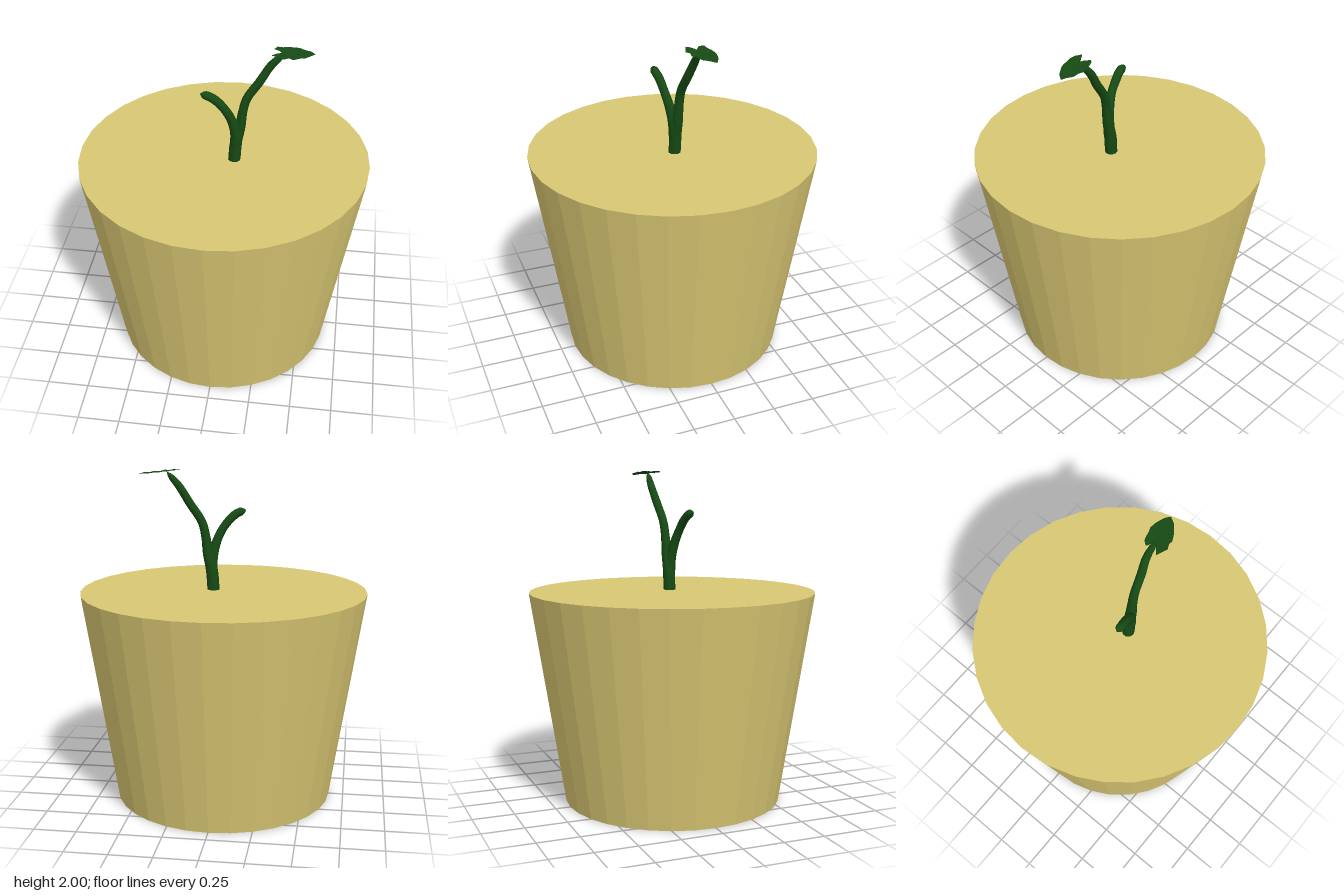
import * as THREE from 'three';

const V = (p) => new THREE.Vector3(...p);

// Tube along a smooth path, with its radius interpolated along the length and a rounded tip
function taperedTube(points, radii, material, name) {
  const curve = new THREE.CatmullRomCurve3(points.map(V));
  const rings = 32, sides = 10;
  const geo = new THREE.TubeGeometry(curve, rings, 1, sides, false);
  const pos = geo.attributes.position;
  const v = new THREE.Vector3();
  for (let i = 0; i <= rings; i++) {
    const u = i / rings;
    const centre = curve.getPointAt(u);
    const f = u * (radii.length - 1);
    const k = Math.min(Math.floor(f), radii.length - 2);
    const tip = Math.sqrt(Math.min(1, (1 - u) * 16));
    const r = THREE.MathUtils.lerp(radii[k], radii[k + 1], f - k) * tip;
    for (let j = 0; j <= sides; j++) {
      const n = i * (sides + 1) + j;
      v.fromBufferAttribute(pos, n).sub(centre).multiplyScalar(r).add(centre);
      pos.setXYZ(n, v.x, v.y, v.z);
    }
  }
  geo.computeVertexNormals();
  const mesh = new THREE.Mesh(geo, material);
  mesh.name = name;
  return mesh;
}

// Heart-shaped leaf: fan of two rings around the stalk joint, sloping down to its tip
function leafBlade(material) {
  const joint = [0.335, -0.03];
  const outline = [
    [0.5, -0.062], [0.475, -0.022], [0.445, 0.002], [0.42, 0.02], [0.385, 0.038],
    [0.36, 0.036], [0.33, 0.05], [0.3, 0.04], [0.262, 0.025], [0.29, 0.005],
    [0.32, -0.016], [0.305, -0.03], [0.272, -0.05], [0.29, -0.075], [0.32, -0.086],
    [0.345, -0.09], [0.375, -0.103], [0.41, -0.098], [0.44, -0.093], [0.475, -0.078],
  ];
  const height = (x) => 1.998 - 0.1 * (x - 0.25);
  const verts = [joint[0], height(joint[0]) - 0.004, joint[1]];
  const index = [];
  const n = outline.length;
  for (const s of [0.5, 1]) {
    outline.forEach(([x, z], i) => {
      const px = THREE.MathUtils.lerp(joint[0], x, s);
      const pz = THREE.MathUtils.lerp(joint[1], z, s);
      verts.push(px, height(px) + (i % 2 ? 0.003 : -0.002) * s, pz);
    });
  }
  for (let i = 0; i < n; i++) {
    const a = 1 + i, b = 1 + ((i + 1) % n);
    index.push(0, b, a, a, b, b + n, a, b + n, a + n);
  }
  // outline runs clockwise from above, so flip the winding to face up
  for (let i = 0; i < index.length; i += 3) {
    [index[i + 1], index[i + 2]] = [index[i + 2], index[i + 1]];
  }
  const geo = new THREE.BufferGeometry();
  geo.setAttribute('position', new THREE.Float32BufferAttribute(verts, 3));
  geo.setIndex(index);
  geo.computeVertexNormals();
  // make sure the front side points up
  if (geo.attributes.normal.getY(0) < 0) {
    geo.setIndex(index.reverse());
    geo.computeVertexNormals();
  }
  const mesh = new THREE.Mesh(geo, material);
  mesh.name = 'leaf';
  return mesh;
}

export function createModel() {
  const group = new THREE.Group();
  group.name = 'pottedSprout';
  const potMat = new THREE.MeshStandardMaterial({ color: 0xd8c672, flatShading: true });
  const stemMat = new THREE.MeshStandardMaterial({ color: 0x164a14 });
  const leafMat = new THREE.MeshStandardMaterial({ color: 0x164a14, side: THREE.DoubleSide });

  // Solid tapered pot
  const pot = new THREE.Mesh(new THREE.CylinderGeometry(0.86, 0.66, 1.28, 32), potMat);
  pot.name = 'pot';
  pot.position.y = 0.64;
  group.add(pot);

  // Main stem, bending out to the leaf
  group.add(taperedTube(
    [[0.063, 1.27, 0.01], [0.073, 1.4, 0.007], [0.095, 1.5, 0.003], [0.108, 1.6, 0],
      [0.13, 1.69, -0.005], [0.2, 1.8, -0.018], [0.26, 1.9, -0.032], [0.335, 1.985, -0.028]],
    [0.037, 0.037, 0.032, 0.027, 0.025, 0.025, 0.023, 0.016], stemMat, 'mainStem'));

  // Side shoot with a blunt tip
  group.add(taperedTube(
    [[0.067, 1.33, 0.012], [0.072, 1.45, 0.018], [0.05, 1.56, 0.035], [0.015, 1.64, 0.052],
      [-0.035, 1.705, 0.064], [-0.075, 1.737, 0.074], [-0.125, 1.754, 0.08]],
    [0.03, 0.034, 0.03, 0.027, 0.025, 0.026, 0.024], stemMat, 'sideShoot'));

  group.add(leafBlade(leafMat));
  return group;
}
